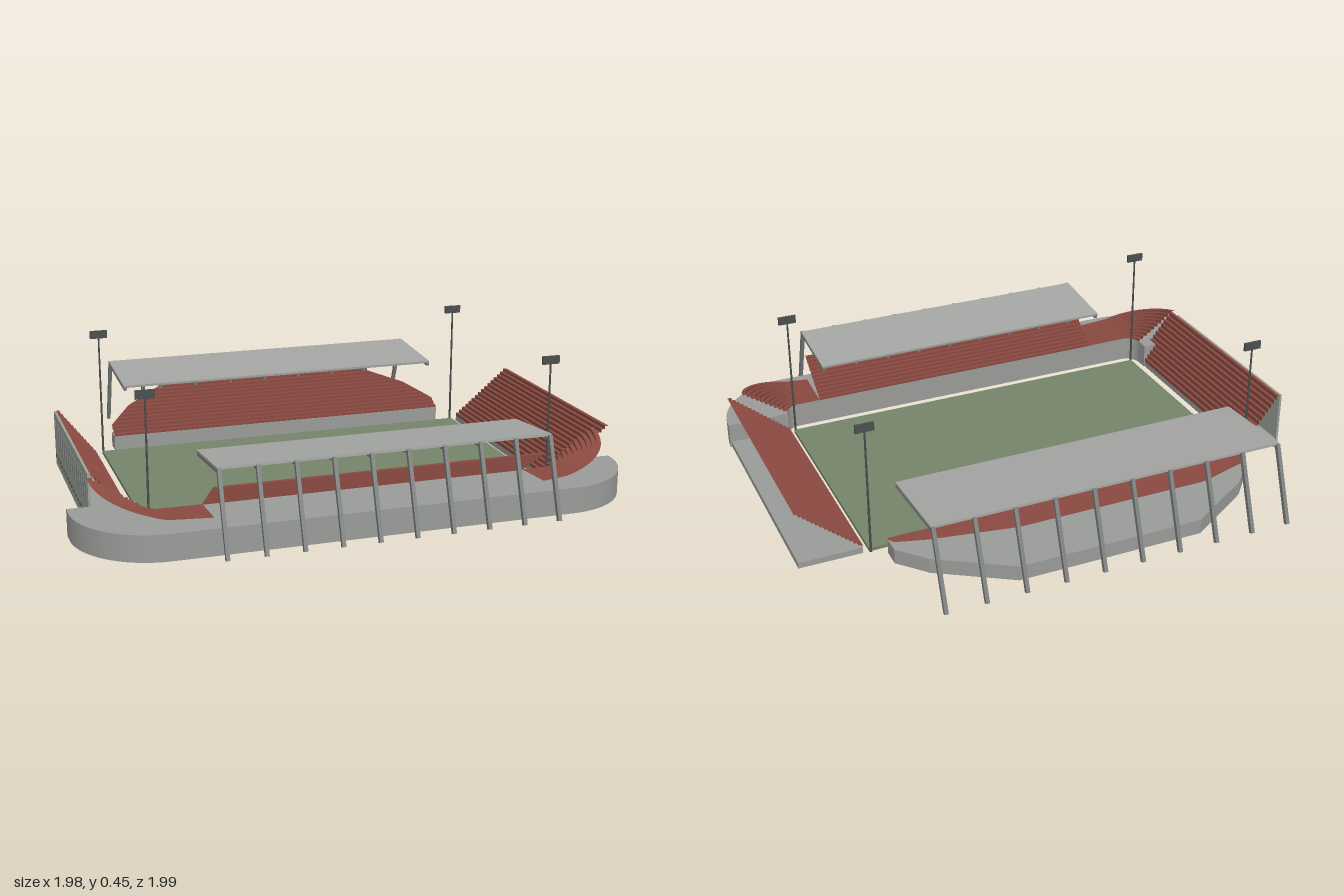
import * as THREE from 'three';

const mat = (name, color, side = THREE.FrontSide) => {
  const m = new THREE.MeshStandardMaterial({ color, side });
  m.name = name;
  return m;
};

export function createModel() {
  const seats = mat('seat red', 0x8a4a41, THREE.DoubleSide);
  const grass = mat('grass green', 0x74846a);
  const concrete = mat('concrete grey', 0x9a9c99);
  const roofGrey = mat('roof grey', 0xa4a6a3);
  const steel = mat('steel grey', 0x7c807e);
  const facadeGrey = mat('facade grey', 0x9ca39a);
  const dark = mat('dark grey', 0x4a4f4e);

  // Everything is laid out with the pitch along x, then turned as one.
  const model = new THREE.Group();
  model.name = 'stadium';
  const ground = new THREE.Group();
  ground.name = 'ground';
  ground.rotation.y = 0.775;
  model.add(ground);

  const add = (name, geo, material) => {
    const m = new THREE.Mesh(geo, material);
    m.name = name;
    ground.add(m);
    return m;
  };
  // Box given by its limits
  const box = (name, x0, x1, y0, y1, z0, z1, material) => {
    const m = add(name, new THREE.BoxGeometry(x1 - x0, y1 - y0, z1 - z0), material);
    m.position.set((x0 + x1) / 2, (y0 + y1) / 2, (z0 + z1) / 2);
    return m;
  };
  // Bar of section w x h between two points
  const beam = (name, a, b, w, h, material) => {
    const p = new THREE.Vector3(...a), q = new THREE.Vector3(...b);
    const m = new THREE.Mesh(new THREE.BoxGeometry(w, h, p.distanceTo(q)), material);
    m.name = name;
    m.position.copy(p).add(q).multiplyScalar(0.5);
    m.lookAt(q);
    ground.add(m);
  };
  // Flat plan outline raised from the ground to height h
  const slab = (name, shape, h, material) => {
    const geo = new THREE.ExtrudeGeometry(shape, { depth: h, bevelEnabled: false, curveSegments: 12 });
    geo.rotateX(Math.PI / 2).translate(0, h, 0);
    add(name, geo, material);
  };
  // Stepped seating lofted through sections running from an inner to an outer point;
  // clip cuts the section short.
  const terrace = (name, sections, rows) => {
    const lines = sections.map(({ a, b, clip = 1 }) => {
      const p = new THREE.Vector3(...a), q = new THREE.Vector3(...b), line = [];
      const put = (s, h) => {
        const v = p.clone().lerp(q, Math.min(s, clip));
        v.y = p.y + (q.y - p.y) * Math.min(h, clip);
        line.push(v);
      };
      put(0, 0);
      for (let k = 0; k < rows; k++) {
        put(k / rows, (k + 1) / rows);
        put((k + 1) / rows, (k + 1) / rows);
      }
      return line;
    });
    const pos = [];
    for (let i = 0; i + 1 < lines.length; i++) {
      for (let j = 0; j + 1 < lines[i].length; j++) {
        const A = lines[i][j], B = lines[i + 1][j], C = lines[i + 1][j + 1], D = lines[i][j + 1];
        for (const v of [A, B, C, A, C, D]) pos.push(v.x, v.y, v.z);
      }
    }
    const geo = new THREE.BufferGeometry();
    geo.setAttribute('position', new THREE.Float32BufferAttribute(pos, 3));
    geo.computeVertexNormals();
    add(name, geo, seats);
  };

  // Pitch
  box('pitch', -0.67, 0.67, 0, 0.012, -0.418, 0.388, grass);

  // Front concourse wrapping both front corners
  const L = -0.65, R = 0.64, C = 0.38, PI = Math.PI;
  const plan = new THREE.Shape();
  plan.moveTo(-0.91, 0.34);
  plan.lineTo(-0.91, C);
  plan.absarc(L, C, 0.26, PI, PI / 2, true);
  plan.lineTo(R, 0.64);
  plan.absarc(R, C, 0.26, PI / 2, 0, true);
  plan.lineTo(R + 0.05, C);
  plan.absarc(R, C, 0.05, 0, PI / 2, false);
  plan.lineTo(L, C + 0.05);
  plan.absarc(L, C, 0.05, PI / 2, PI, false);
  plan.lineTo(L - 0.05, 0.34);
  slab('frontConcourse', plan, 0.085, concrete);

  // Front, right and left seating
  terrace('frontSeating', [
    { a: [-0.51, 0.085, 0.43], b: [-0.51, 0.19, 0.585] },
    { a: [0.56, 0.085, 0.43], b: [0.56, 0.19, 0.585] }], 12);
  box('rightEndBase', 0.69, 0.895, 0, 0.02, -0.418, 0.38, concrete);
  terrace('rightEndSeating', [
    { a: [0.69, 0.02, -0.418], b: [0.895, 0.19, -0.418] },
    { a: [0.69, 0.02, 0.38], b: [0.895, 0.19, 0.38] }], 16);
  box('leftEndBase', -0.838, -0.704, 0, 0.02, -0.367, 0.34, concrete);
  terrace('leftEndSeating', [
    { a: [-0.704, 0.02, -0.367], b: [-0.834, 0.19, -0.367] },
    { a: [-0.704, 0.02, 0.38], b: [-0.834, 0.19, 0.38] }], 12);

  // Corner seating sweeping down from the end stands to the front stand
  for (const [name, cx, side, endX] of [['leftCornerSeating', L, -1, -0.51], ['rightCornerSeating', R, 1, 0.56]]) {
    const sections = [], n = 14;
    for (let i = 0; i <= n; i++) {
      const t = (i / n) * PI / 2, y = 0.19 - 0.085 * (i / n);
      const at = (r) => [cx + side * r * Math.cos(t), C + r * Math.sin(t)];
      const [x0, z0] = at(0.05), [x1, z1] = at(0.2);
      sections.push({ a: [x0, 0.086, z0], b: [x1, y, z1] });
    }
    sections.push({ a: [endX, 0.086, 0.43], b: [endX, 0.097, 0.58] });
    terrace(name, sections, 10);
  }

  // Outer facade of the left end with slit windows
  box('leftEndFacade', -0.842, -0.834, 0, 0.19, -0.367, 0.34, facadeGrey);
  for (let i = 0; i < 16; i++) {
    const z = -0.335 + i * 0.043;
    box('facadeWindow', -0.845, -0.84, 0.095, 0.16, z - 0.007, z + 0.007, steel);
    box('facadeVent', -0.845, -0.84, 0.035, 0.042, z - 0.009, z + 0.009, dark);
  }

  // Back stand: base and seating share a plan with chamfered ends
  const depthAt = (x) => {
    const u = Math.abs(x);
    if (u < 0.31) return 0.745;
    if (u < 0.54) return 0.745 - (u - 0.31) / 0.23 * 0.145;
    return 0.6 - (u - 0.54) / 0.08 * 0.09;
  };
  const back = new THREE.Shape();
  back.moveTo(-0.62, -0.45);
  for (const x of [-0.62, -0.54, -0.31, 0.31, 0.54, 0.62]) back.lineTo(x, -depthAt(x));
  back.lineTo(0.62, -0.45);
  slab('backBase', back, 0.05, concrete);
  const backSections = [];
  for (let i = 0; i <= 62; i++) {
    const x = -0.62 + i * 0.02;
    backSections.push({ a: [x, 0.05, -0.455], b: [x, 0.19, -0.745], clip: (depthAt(x) - 0.455) / 0.29 });
  }
  terrace('backSeating', backSections, 16);

  // Roofs with rafters and raking outer struts
  const canopy = (name, x0, x1, zIn, zOut, zFoot, yIn, yOut) => {
    const mid = (x0 + x1) / 2;
    beam(name + 'Roof', [mid, yIn, zIn], [mid, yOut, zOut], x1 - x0, 0.008, roofGrey);
    for (let i = 0; i < 10; i++) {
      const x = x0 + 0.006 + (x1 - x0 - 0.012) * i / 9;
      beam(name + 'Rafter', [x, yIn - 0.008, zIn], [x, yOut - 0.008, zOut], 0.01, 0.012, steel);
      beam(name + 'Strut', [x, yOut, zOut], [x, 0.012, zFoot], 0.012, 0.014, steel);
    }
  };
  canopy('front', -0.512, 0.556, 0.375, 0.627, 0.717, 0.24, 0.264);
  canopy('back', -0.583, 0.583, -0.438, -0.735, -0.825, 0.235, 0.254);

  // Floodlights at the pitch corners
  for (const x of [-0.668, 0.665]) {
    for (const z of [-0.42, 0.389]) {
      const pole = add('floodlightPole', new THREE.CylinderGeometry(0.003, 0.004, 0.43, 6), dark);
      pole.position.set(x, 0.215, z);
      box('floodlightPanel', x - 0.03, x + 0.03, 0.423, 0.45, z - 0.004, z + 0.004, dark);
    }
  }
  return model;
}
